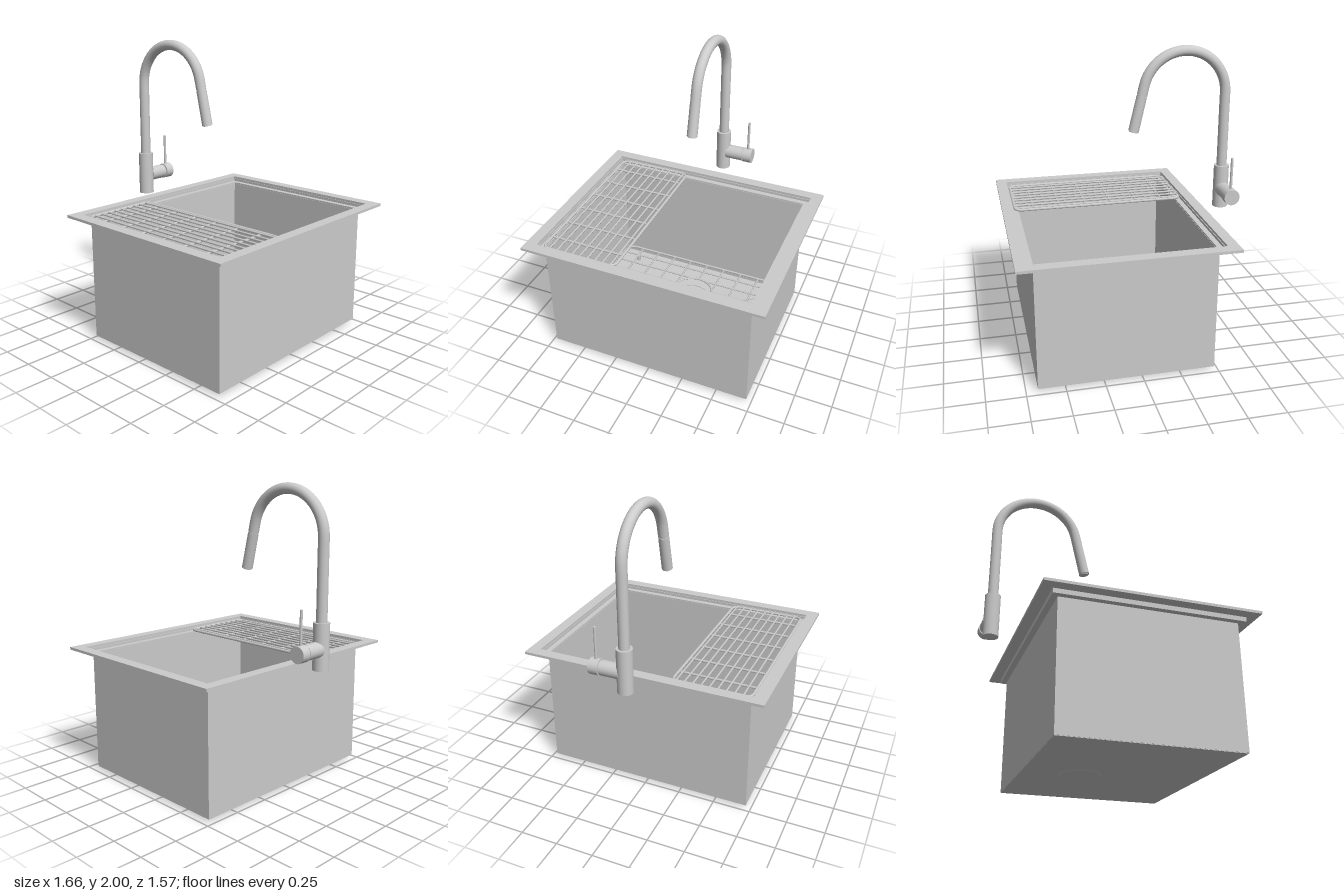
import * as THREE from 'three';

const grey = new THREE.MeshStandardMaterial({ color: 0xcccccc, side: THREE.DoubleSide });
const V = (x, y, z) => new THREE.Vector3(x, y, z);

// Basin centre and drain position along z
const ZC = 0.1, DRAIN_Z = -0.117;

function add(parent, name, geometry, x = 0, y = 0, z = 0) {
  const mesh = new THREE.Mesh(geometry, grey);
  mesh.name = name;
  mesh.position.set(x, y, z);
  parent.add(mesh);
  return mesh;
}

// Cylinder running from point a to point b
function rod(parent, name, a, b, r, sides = 8, rEnd = r) {
  const d = b.clone().sub(a);
  const mesh = add(parent, name, new THREE.CylinderGeometry(rEnd, r, d.length(), sides));
  mesh.position.copy(a).addScaledVector(d, 0.5);
  mesh.quaternion.setFromUnitVectors(V(0, 1, 0), d.normalize());
  return mesh;
}

function rectangle(path, hx, hz) {
  path.moveTo(-hx, -hz).lineTo(hx, -hz).lineTo(hx, hz).lineTo(-hx, hz).closePath();
  return path;
}

// Rectangular ring lying flat between heights y0 and y1
function ring(parent, name, outer, inner, y0, y1) {
  const shape = rectangle(new THREE.Shape(), ...outer);
  shape.holes.push(rectangle(new THREE.Path(), ...inner));
  const geo = new THREE.ExtrudeGeometry(shape, { depth: y1 - y0, bevelEnabled: false });
  geo.rotateX(-Math.PI / 2);
  return add(parent, name, geo, 0, y0, ZC);
}

// Closed wire loop with rounded corners
function wireLoop(parent, name, x0, x1, z0, z1, corner, y, r) {
  const path = new THREE.CurvePath();
  const corners = [[x1 - corner, z1 - corner], [x0 + corner, z1 - corner],
    [x0 + corner, z0 + corner], [x1 - corner, z0 + corner]];
  const at = (i, a) => V(corners[i][0] + corner * Math.cos(a), y, corners[i][1] + corner * Math.sin(a));
  for (let i = 0; i < 4; i++) {
    const a = i * Math.PI / 2, arc = [];
    for (let k = 0; k <= 6; k++) arc.push(at(i, a + k * Math.PI / 12));
    path.add(new THREE.CatmullRomCurve3(arc));
    path.add(new THREE.LineCurve3(arc[6], at((i + 1) % 4, a + Math.PI / 2)));
  }
  add(parent, name, new THREE.TubeGeometry(path, 200, r, 8, true));
}

function buildSink() {
  const sink = new THREE.Group();
  sink.name = 'sink';
  ring(sink, 'rim', [0.83, 0.686], [0.753, 0.612], 0.872, 0.89);
  ring(sink, 'rimStep', [0.757, 0.615], [0.749, 0.607], 0.842, 0.873);
  ring(sink, 'ledge', [0.757, 0.615], [0.712, 0.57], 0.842, 0.855);
  ring(sink, 'basinWalls', [0.718, 0.576], [0.71, 0.568], 0.024, 0.845);

  // Floor slab, falling towards the drain hole
  const shape = rectangle(new THREE.Shape(), 0.716, 0.574);
  const holeY = ZC - DRAIN_Z;
  shape.holes.push(new THREE.Path().absarc(0, holeY, 0.13, 0, Math.PI * 2, true));
  const geo = new THREE.ExtrudeGeometry(shape, { depth: 0.008, bevelEnabled: false, curveSegments: 32 });
  geo.rotateX(-Math.PI / 2);
  const p = geo.attributes.position;
  for (let i = 0; i < p.count; i++) {
    if (Math.hypot(p.getX(i), p.getZ(i) + holeY) < 0.2) p.setY(i, p.getY(i) - 0.014);
  }
  geo.computeVertexNormals();
  add(sink, 'basinFloor', geo, 0, 0.02, ZC);

  // Drain cover, thin and slightly dished
  const profile = [[0, 0], [0.12, 0], [0.136, 0.006], [0.136, 0.018], [0.125, 0.02], [0.118, 0.016], [0, 0.016]];
  add(sink, 'drain', new THREE.LatheGeometry(profile.map(q => new THREE.Vector2(...q)), 48), 0, 0, DRAIN_Z);
  return sink;
}

function buildBottomGrid() {
  const grid = new THREE.Group();
  grid.name = 'bottomGrid';
  const y = 0.075, r = 0.006, x1 = 0.7, z0 = -0.455, z1 = 0.655, R = 0.155;
  wireLoop(grid, 'gridFrame', -x1, x1, z0, z1, 0.07, y, 0.008);
  const hole = add(grid, 'gridDrainRing', new THREE.TorusGeometry(R, 0.007, 8, 48), 0, y, DRAIN_Z);
  hole.rotation.x = Math.PI / 2;

  // Wires stop at the drain ring
  const wire = (from, to, centre, offset, point) => {
    const h = Math.abs(offset) < R ? Math.sqrt(R * R - offset * offset) : 0;
    const spans = h ? [[from, centre - h], [centre + h, to]] : [[from, to]];
    for (const [a, b] of spans) rod(grid, 'gridWire', point(a), point(b), r, 6);
  };
  for (let i = -4; i <= 4; i++) {
    const x = i * 0.142;
    wire(z0, z1, DRAIN_Z, x, t => V(x, y, t));
  }
  for (let i = 0; i < 10; i++) {
    const z = -0.364 + i * 0.1003;
    wire(-x1, x1, 0, z - DRAIN_Z, t => V(t, y, z));
  }
  // Side bumpers and feet
  for (const s of [-1, 1]) {
    for (const z of [-0.31, 0.48]) {
      add(grid, 'gridBumper', new THREE.BoxGeometry(0.024, 0.035, 0.04), s * 0.698, y, z);
    }
    for (const z of [-0.364, 0.538]) rod(grid, 'gridFoot', V(s * 0.568, 0.026, z), V(s * 0.568, y, z), 0.014, 12);
  }
  return grid;
}

function buildRack() {
  const rack = new THREE.Group();
  rack.name = 'dryingRack';
  const y = 0.866, x0 = -0.722, x1 = -0.197, z0 = -0.497, z1 = 0.693;
  wireLoop(rack, 'rackFrame', x0, x1, z0, z1, 0.045, y, 0.01);
  for (let i = 0; i < 9; i++) {
    const x = -0.67 + i * 0.0555;
    rod(rack, 'rackSlat', V(x, y + 0.004, z0), V(x, y + 0.004, z1), 0.007);
  }
  for (let i = 0; i < 6; i++) {
    const z = -0.367 + i * 0.186;
    rod(rack, 'rackCrossbar', V(x0, y - 0.006, z), V(x1, y - 0.006, z), 0.008);
  }
  return rack;
}

function buildFaucet() {
  const faucet = new THREE.Group();
  faucet.name = 'faucet';
  faucet.position.set(0.005, 0, -0.733);
  rod(faucet, 'faucetBody', V(0, 0.865, 0), V(0, 1.165, 0), 0.052, 40);

  // Gooseneck: straight riser, then an arc leaning forward at its end
  const R = 0.285, cy = 1.68, lean = 0.23;
  const pts = [1.16, 1.3, 1.45, 1.58].map(y => V(0, y, 0));
  for (let i = 0; i <= 20; i++) {
    const a = Math.PI - (Math.PI - lean) * i / 20;
    pts.push(V(0, cy + R * Math.sin(a), R + R * Math.cos(a)));
  }
  const dir = V(0, -Math.cos(lean), Math.sin(lean));
  const along = d => pts[24].clone().addScaledVector(dir, d);
  const end = 0.066;
  const neck = new THREE.CatmullRomCurve3([...pts, along(end)]);
  add(faucet, 'gooseneck', new THREE.TubeGeometry(neck, 90, 0.035, 28));

  // Pull-down spray head with a seam above and a nozzle below
  rod(faucet, 'sprayHeadSeam', along(end - 0.01), along(end + 0.012), 0.031, 28);
  rod(faucet, 'sprayHead', along(end + 0.006), along(0.312), 0.035, 28, 0.036);
  rod(faucet, 'sprayNozzle', along(0.3), along(0.318), 0.028, 28);

  // Side valve with lever
  const y = 1.0;
  rod(faucet, 'valveArm', V(0.03, y, 0), V(0.158, y, 0), 0.05, 36);
  rod(faucet, 'valveSeam', V(0.15, y, 0), V(0.172, y, 0), 0.043, 36);
  rod(faucet, 'valveCap', V(0.166, y, 0), V(0.23, y, 0), 0.054, 36);
  rod(faucet, 'lever', V(0.195, y + 0.03, 0), V(0.195, 1.27, 0), 0.009, 16);
  return faucet;
}

export function createModel() {
  const model = new THREE.Group();
  model.name = 'kitchenSink';
  model.add(buildSink(), buildBottomGrid(), buildRack(), buildFaucet());
  return model;
}
